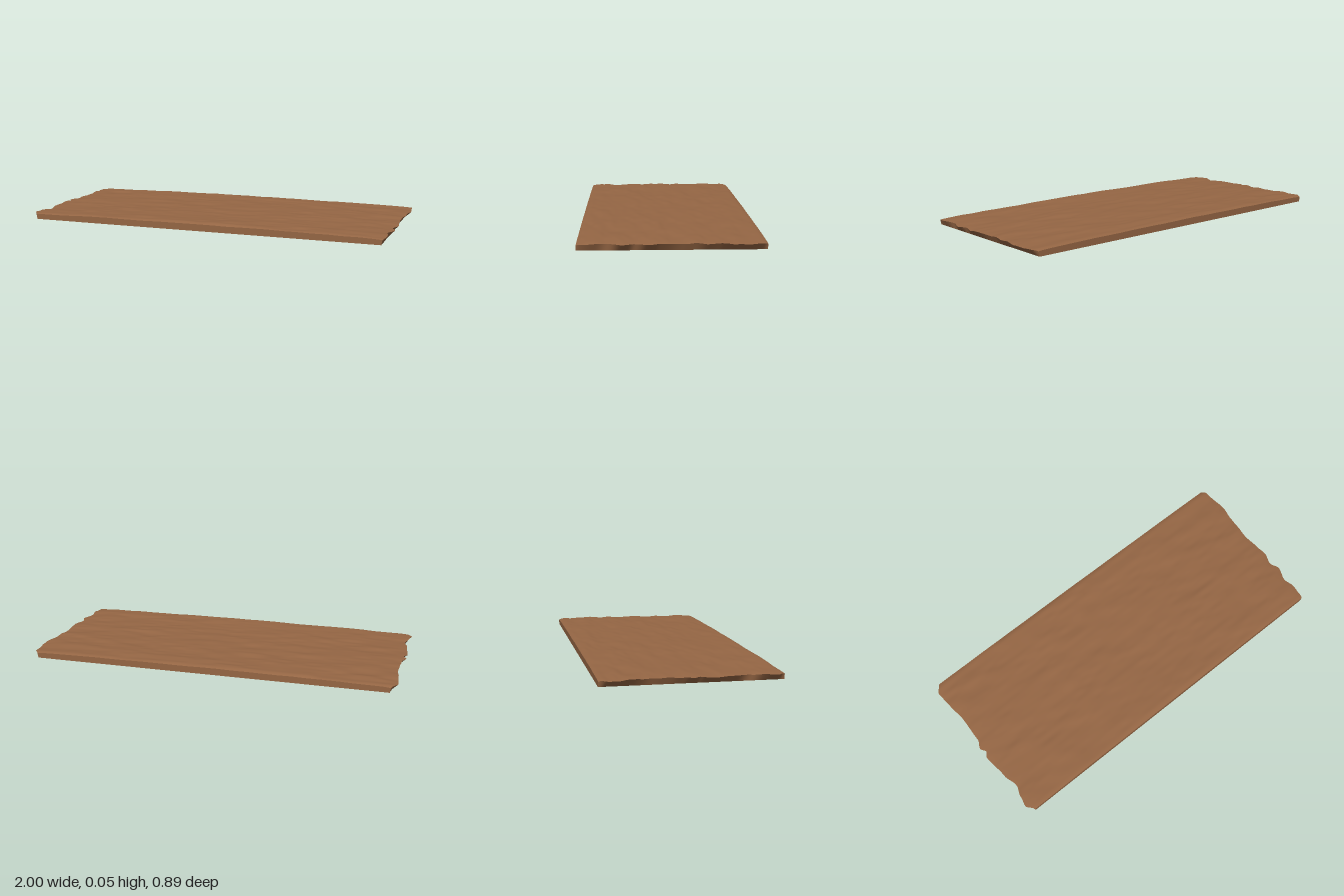
import * as THREE from 'three';

const HALF_Z = 0.445, BASE_X = 0.96, NX = 150, NZ = 90;

// ragged outline of each short end: [z, distance from centre]
const LEFT_END = [[-0.445, 0.965], [-0.42, 0.985], [-0.28, 0.997], [-0.2, 0.985], [-0.05, 0.975], [0.05, 0.983],
  [0.1, 0.99], [0.17, 0.97], [0.22, 0.99], [0.3, 0.965], [0.36, 0.977], [0.43, 0.972], [0.445, 0.965]];
const RIGHT_END = [[-0.445, 0.965], [-0.4, 0.995], [-0.3, 0.987], [-0.2, 0.975], [-0.05, 0.98], [0, 1], [0.03, 0.982],
  [0.06, 1], [0.2, 0.985], [0.28, 0.965], [0.35, 0.985], [0.4, 0.995], [0.445, 0.965]];

function sample(profile, z) {
  for (let k = 1; k < profile.length; k++) {
    const [z0, x0] = profile[k - 1], [z1, x1] = profile[k];
    if (z <= z1) return THREE.MathUtils.lerp(x0, x1, THREE.MathUtils.smoothstep(z, z0, z1));
  }
  return profile[profile.length - 1][1];
}

// seeded value noise in the range -1 to 1
function hash(i, j) {
  const s = Math.sin(i * 127.1 + j * 311.7 + 4.3) * 43758.5453;
  return (s - Math.floor(s)) * 2 - 1;
}
function noise(x, y) {
  const i = Math.floor(x), j = Math.floor(y);
  const fx = THREE.MathUtils.smoothstep(x - i, 0, 1), fy = THREE.MathUtils.smoothstep(y - j, 0, 1);
  const { lerp } = THREE.MathUtils;
  return lerp(lerp(hash(i, j), hash(i + 1, j), fx), lerp(hash(i, j + 1), hash(i + 1, j + 1), fx), fy);
}

// a point of the rough upper face, u and v from -1 to 1
function topPoint(u, v) {
  const z = HALF_Z * v;
  const reach = sample(u > 0 ? LEFT_END : RIGHT_END, z);
  const x = u * THREE.MathUtils.lerp(0.975, reach, Math.abs(u) ** 12);
  const bumps = 0.0035 * noise(x * 6 + 20, z * 17 + 20) + 0.0018 * noise(x * 13 + 50, z * 38 + 50);
  const edge = Math.min((HALF_Z - Math.abs(z)) / 0.025, 1);
  const drop = 0.006 * (1 - edge) ** 2;
  const end = 0.003 * Math.abs(u) ** 40;
  return [x, 0.042 - 0.007 * x * x + bumps * (0.5 + 0.5 * edge) - drop - end, z];
}

function build(positions, indices) {
  const g = new THREE.BufferGeometry();
  g.setAttribute('position', new THREE.Float32BufferAttribute(positions, 3));
  g.setIndex(indices);
  g.computeVertexNormals();
  return g;
}

function topGeometry() {
  const pos = [], idx = [], row = NZ + 1;
  for (let i = 0; i <= NX; i++)
    for (let j = 0; j <= NZ; j++) pos.push(...topPoint(i / NX * 2 - 1, j / NZ * 2 - 1));
  for (let i = 0; i < NX; i++)
    for (let j = 0; j < NZ; j++) {
      const a = i * row + j, b = a + row;
      idx.push(a, a + 1, b, b, a + 1, b + 1);
    }
  return build(pos, idx);
}

// one edge wall, leaning from the straight base out to the rough rim
function wallGeometry(from, to, count) {
  const pos = [], idx = [];
  for (let k = 0; k <= count; k++) {
    const t = k / count;
    const u = THREE.MathUtils.lerp(from[0], to[0], t), v = THREE.MathUtils.lerp(from[1], to[1], t);
    const [x, y, z] = topPoint(u, v);
    for (const h of [0, 0.35, 0.75, 1])
      pos.push(THREE.MathUtils.lerp(u * BASE_X, x, h), y * h, z);
  }
  for (let k = 0; k < count; k++)
    for (let h = 0; h < 3; h++) {
      const a = k * 4 + h, b = a + 4;
      idx.push(a, b, b + 1, a, b + 1, a + 1);
    }
  return build(pos, idx);
}

export function createModel() {
  const group = new THREE.Group();
  group.name = 'roughSlab';
  const brown = new THREE.MeshStandardMaterial({ color: 0x956644 });
  brown.name = 'earthBrown';
  const add = (name, geometry) => {
    const mesh = new THREE.Mesh(geometry, brown);
    mesh.name = name;
    group.add(mesh);
    return mesh;
  };

  add('roughTop', topGeometry());
  add('frontEdge', wallGeometry([-1, 1], [1, 1], NX));
  add('leftEnd', wallGeometry([1, 1], [1, -1], NZ));
  add('backEdge', wallGeometry([1, -1], [-1, -1], NX));
  add('rightEnd', wallGeometry([-1, -1], [-1, 1], NZ));

  // flat underside
  add('underside', new THREE.PlaneGeometry(BASE_X * 2, HALF_Z * 2).rotateX(Math.PI / 2));
  return group;
}
